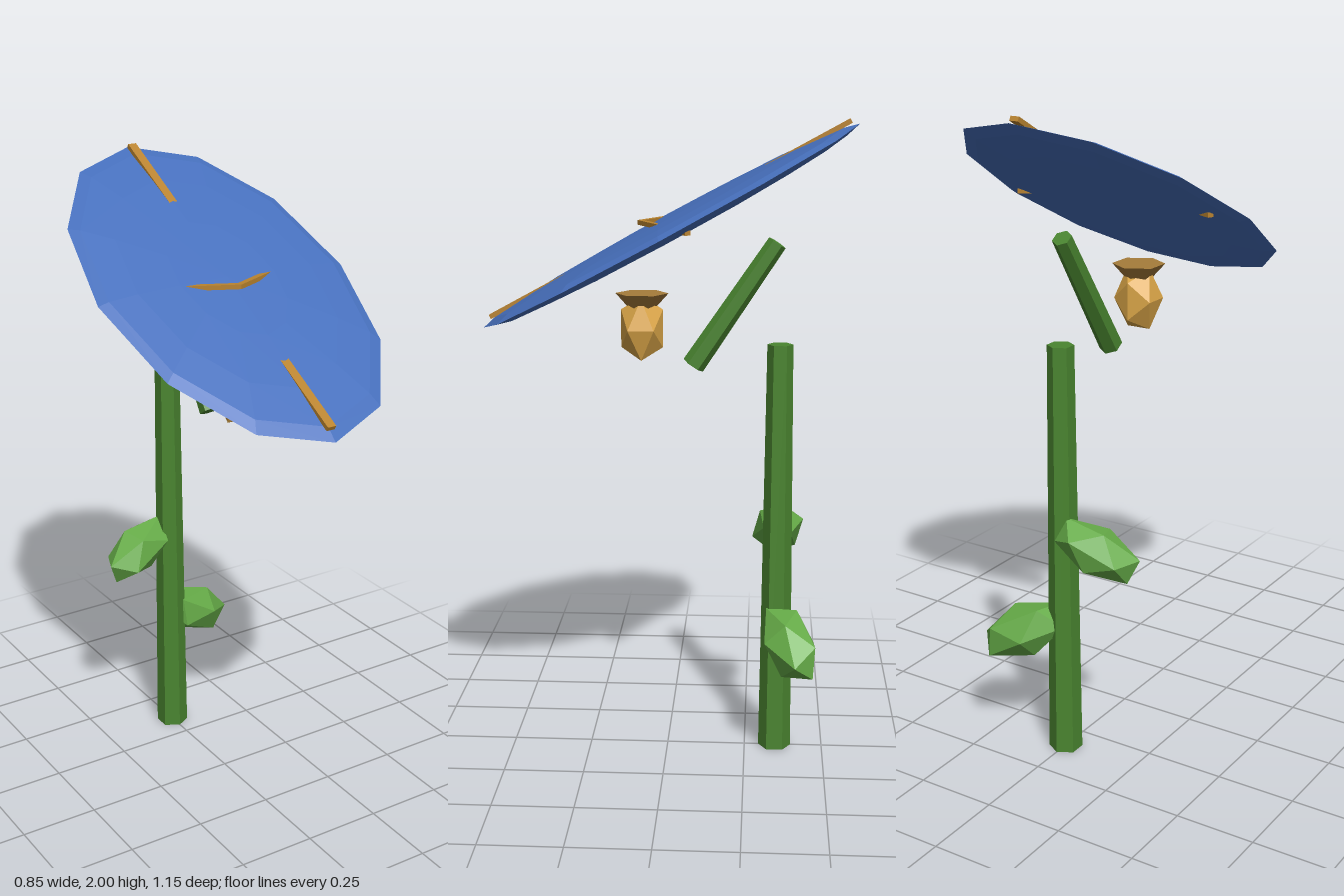
import * as THREE from 'three';

const mat = (color) => new THREE.MeshStandardMaterial({ color, flatShading: true });

export function createModel() {
  const root = new THREE.Group();
  const stemGreen = mat(0x4a8530), leafGreen = mat(0x66ac48), blue = mat(0x4770bd);
  const gold = mat(0xdba648), bronze = mat(0xb9832f), brown = mat(0xa67c3a);

  const add = (name, geometry, material, parent = root) => {
    const mesh = new THREE.Mesh(geometry, material);
    mesh.name = name;
    parent.add(mesh);
    return mesh;
  };

  // Upright stem and the loose bent neck above it
  add('stem', new THREE.CylinderGeometry(0.04, 0.052, 1.32, 6), stemGreen)
    .position.set(0, 0.66, -0.347);
  const neck = add('neck', new THREE.CylinderGeometry(0.03, 0.036, 0.457, 6), stemGreen);
  neck.position.set(0, 1.442, -0.206);
  neck.rotation.x = -0.59;

  // Faceted leaves: a stretched icosahedron aligned to a long axis and a side axis
  const addLeaf = (name, centre, axis, side, length, width) => {
    const a = new THREE.Vector3(...axis).normalize();
    const c = new THREE.Vector3(...side);
    c.addScaledVector(a, -c.dot(a)).normalize();
    const e = new THREE.Vector3().crossVectors(a, c);
    const geometry = new THREE.IcosahedronGeometry(1, 0)
      .scale(width, length, width)
      .applyMatrix4(new THREE.Matrix4().makeBasis(e, a, c));
    add(name, geometry, leafGreen).position.set(...centre);
  };
  addLeaf('leftLeaf', [0.12, 0.392, -0.388], [0.1125, -0.06, -0.045], [0.006, 0.05, -0.05], 0.158, 0.086);
  addLeaf('rightLeaf', [-0.122, 0.699, -0.348], [-0.11, -0.055, 0.03], [0.022, -0.011, 0.066], 0.15, 0.079);

  // Bud with a flared crown
  add('bud', new THREE.IcosahedronGeometry(0.076, 0).scale(1, 1.47, 1), gold)
    .position.set(0, 1.366, 0.08);
  add('budCrown', new THREE.CylinderGeometry(0.082, 0.01, 0.08, 6), brown)
    .position.set(0, 1.435, 0.08);

  // Tilted oval petal with a long midrib that surfaces near both tips
  const petalGroup = new THREE.Group();
  petalGroup.name = 'petalGroup';
  petalGroup.position.y = 1.675;
  petalGroup.rotation.x = 0.498;
  root.add(petalGroup);
  add('petal', new THREE.SphereGeometry(1, 12, 8).scale(0.425, 0.033, 0.652), blue, petalGroup);
  add('midrib', new THREE.BoxGeometry(0.028, 0.014, 1.25), bronze, petalGroup)
    .position.set(0, 0.02, -0.009);

  // Level side veins passing through the petal
  for (const s of [1, -1]) {
    const vein = add(s > 0 ? 'leftVein' : 'rightVein', new THREE.BoxGeometry(0.38, 0.014, 0.018), bronze);
    vein.position.set(s * 0.167, 1.691, 0.004);
    vein.rotation.y = s * 0.44;
  }
  return root;
}
